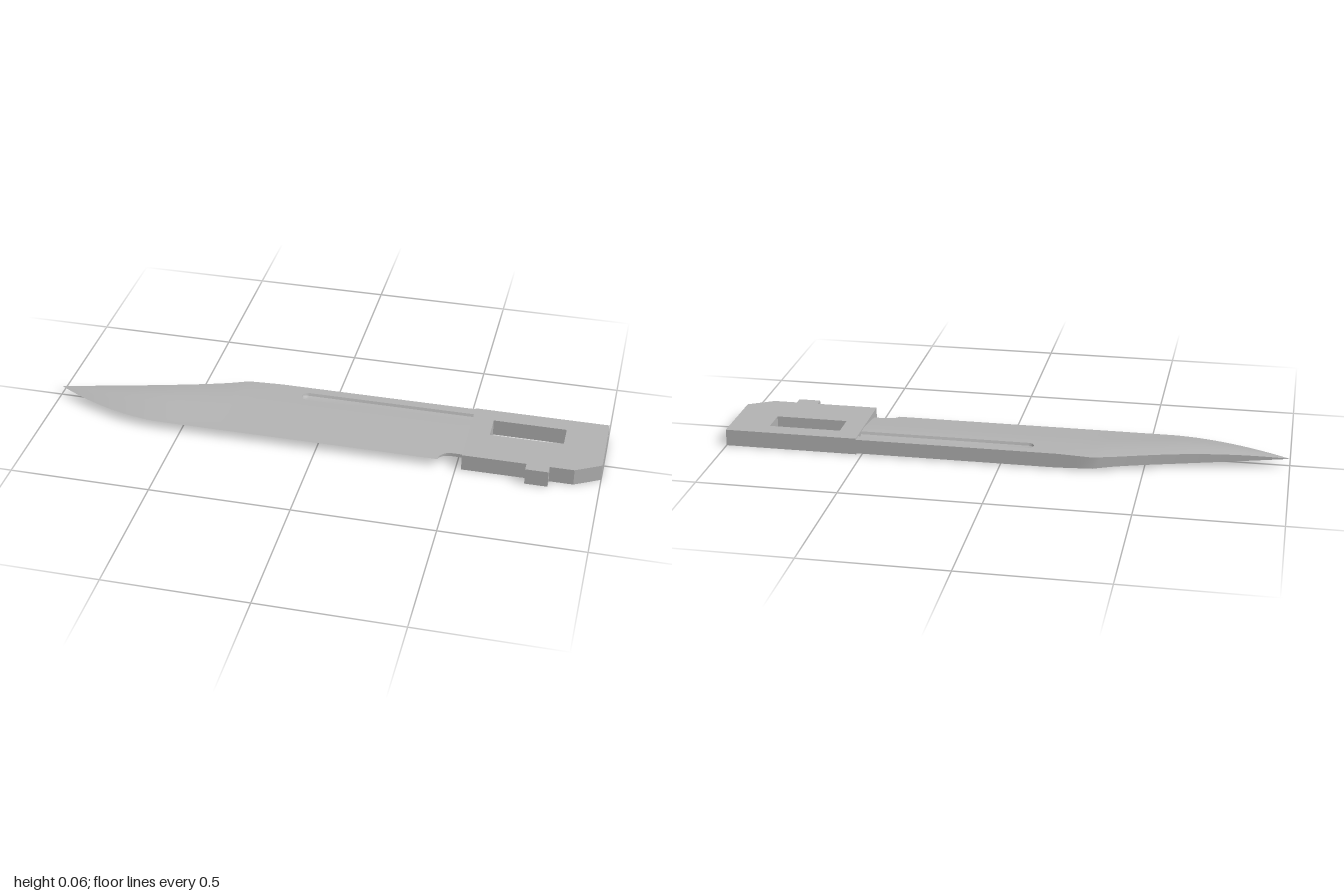
import * as THREE from 'three';
import { toCreasedNormals } from 'three/addons/utils/BufferGeometryUtils.js';

const MID = 0.03;          // height of the blade's centre plane
const HALF = 0.026;        // half thickness of the blade
const SPINE = -0.168, EDGE = 0.135;
const clamp01 = (v) => Math.min(1, Math.max(0, v));

// Blade outline: clipped spine, curved belly, finger notch by the tang
function spineZ(x) {
  const t = clamp01((x + 1) / 0.675);
  return -0.01 + (SPINE + 0.01) * (0.45 * t + 0.55 * t * t);
}
function bellyZ(x) {
  const s = clamp01((x + 1) / 0.43);
  return -0.01 + (EDGE + 0.01) * (1 - Math.pow(1 - s, 1.8));
}
function edgeZ(x) {
  const r = 0.045, d = Math.min(r, Math.max(0, x - 0.435));
  return bellyZ(x) - Math.sqrt(r * r - (r - d) ** 2) * 0.85;
}

// One closed cross-section: upper side spine to edge, lower side back again
function section(x) {
  const s = spineZ(x), width = bellyZ(x) - s;
  const u = clamp01((-0.55 - x) / 0.45);
  const H = HALF * (1 - u * u);
  const spineFactor = 1 - 0.3 * clamp01((-0.2 - x) / 0.2);
  const bevel = (f) => (f < 0.4 ? 1 : 1 - Math.pow(clamp01((f - 0.4) / 0.6), 1.2));

  const rows = [[s, H * spineFactor]];
  // fuller groove, rounded at its front end
  const R = 0.023, d = Math.min(R, Math.max(0, x + 0.11));
  const w = Math.sqrt(R * R - (R - d) ** 2);
  const centre = s + width * 0.188;
  const floor = [0, 0.65, 1, 1, 0.65, 0];
  [-1, -0.8, -0.35, 0.35, 0.8, 1].forEach((o, i) => {
    rows.push([centre + o * w, H - 0.014 * floor[i] * (w / R)]);
  });
  // ground bevel down to the cutting edge
  for (const f of [0.4, 0.55, 0.7]) rows.push([s + width * f, H * bevel(f)]);
  const e = edgeZ(x);
  rows.push([e, width > 0 ? H * bevel((e - s) / width) : 0]);

  const upper = rows.map(([z, h]) => new THREE.Vector3(x, MID + h, z));
  const lower = rows.map(([z, h]) => new THREE.Vector3(x, MID - h, z)).reverse();
  return upper.concat(lower);
}

function bladeGeometry() {
  const xs = [];
  for (let i = 0; i < 24; i++) xs.push(-1 + 0.675 * Math.pow(i / 24, 1.2));
  xs.push(-0.325, -0.26, -0.2);
  for (const d of [0, 0.002, 0.006, 0.012, 0.023]) xs.push(-0.11 + d);
  xs.push(0.15);
  for (const d of [0, 0.002, 0.006, 0.014, 0.026, 0.045]) xs.push(0.435 + d);
  xs.push(0.52);

  const rings = xs.map(section), pos = [];
  const tri = (a, b, c) => {
    const area = b.clone().sub(a).cross(c.clone().sub(a)).length();
    if (area > 1e-9) for (const p of [a, b, c]) pos.push(p.x, p.y, p.z);
  };
  for (let i = 0; i < rings.length - 1; i++) {
    const A = rings[i], B = rings[i + 1], n = A.length;
    for (let j = 0; j < n; j++) {
      const k = (j + 1) % n;
      tri(A[j], A[k], B[j]);
      tri(A[k], B[k], B[j]);
    }
  }
  const g = new THREE.BufferGeometry();
  g.setAttribute('position', new THREE.Float32BufferAttribute(pos, 3));
  return toCreasedNormals(g, 0.42);
}

// Tang plate with its locating tab, cut corner and rectangular slot
function tangGeometry() {
  const pts = (list) => list.map(([x, z]) => new THREE.Vector2(x, z));
  const shape = new THREE.Shape(pts([
    [0.52, SPINE], [1, SPINE], [1, 0.085], [0.91, EDGE], [0.825, EDGE],
    [0.825, 0.168], [0.745, 0.168], [0.745, EDGE], [0.52, EDGE],
  ]));
  shape.holes.push(new THREE.Path(pts([
    [0.595, -0.105], [0.595, -0.012], [0.855, -0.012], [0.855, -0.105],
  ])));
  const g = new THREE.ExtrudeGeometry(shape, { depth: 2 * MID, bevelEnabled: false });
  g.rotateX(Math.PI / 2);
  g.translate(0, 2 * MID, 0);
  return g;
}

export function createModel() {
  const steel = new THREE.MeshStandardMaterial({ color: 0xb2b2b2 });
  steel.name = 'steel';

  const group = new THREE.Group();
  group.name = 'knifeBlade';
  const add = (name, geometry) => {
    const mesh = new THREE.Mesh(geometry, steel);
    mesh.name = name;
    group.add(mesh);
  };
  add('blade', bladeGeometry());
  add('tang', tangGeometry());
  return group;
}
